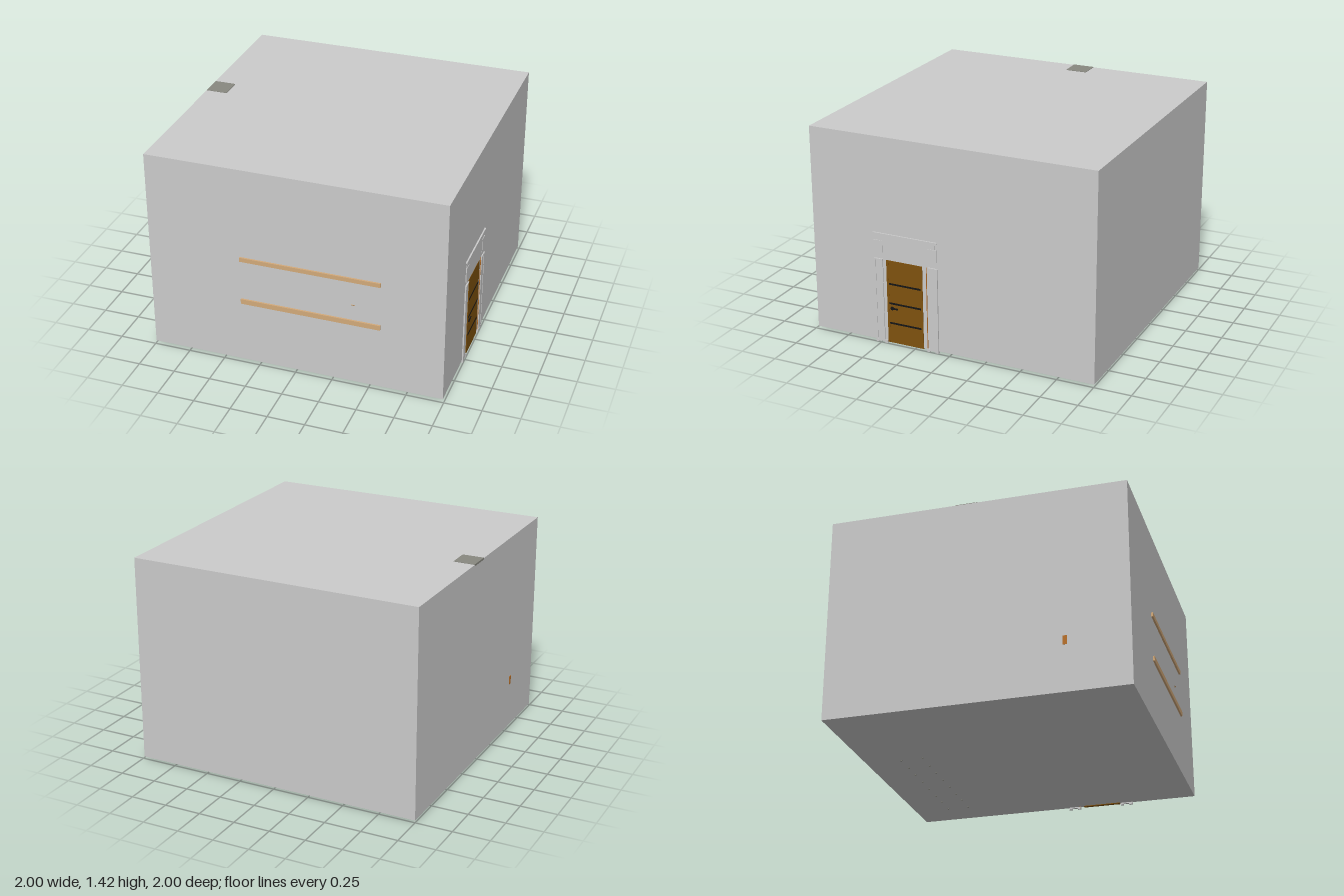
import * as THREE from 'three';

const mat = (color) => new THREE.MeshStandardMaterial({ color });
const grey = mat(0xcccccc), oak = mat(0xd3aa7a), brown = mat(0x80520e);
const orange = mat(0xb8702a), black = mat(0x151515), slate = mat(0x888880);

// Box given by its extents along each axis
function block(parent, name, [x0, x1], [y0, y1], [z0, z1], material = grey) {
  const mesh = new THREE.Mesh(new THREE.BoxGeometry(x1 - x0, y1 - y0, z1 - z0), material);
  mesh.position.set((x0 + x1) / 2, (y0 + y1) / 2, (z0 + z1) / 2);
  mesh.name = name;
  parent.add(mesh);
  return mesh;
}

function group(parent, name) {
  const g = new THREE.Group();
  g.name = name;
  parent.add(g);
  return g;
}

export function createModel() {
  const model = new THREE.Group();
  model.name = 'room';

  // Plain closed room
  block(model, 'roomShell', [-1, 0.99], [0.015, 1.42], [-1, 0.985]);

  // Roof hatch at the edge
  block(model, 'roofHatch', [-1, -0.855], [1.41, 1.423], [-0.15, 0], slate);

  // Shelf edges showing through the front wall
  for (const [y0, y1] of [[0.45, 0.484], [0.766, 0.795]])
    block(model, 'wallRail', [-0.37, 0.57], [y0, y1], [0.97, 0.997], oak);
  const peg = new THREE.Mesh(new THREE.CylinderGeometry(0.018, 0.006, 0.012, 8), oak);
  peg.name = 'wallPeg';
  peg.position.set(0.388, 0.591, 0.976);
  model.add(peg);

  // Small wooden tip on the left-hand wall
  block(model, 'woodenTip', [-1.002, -0.98], [0.33, 0.39], [0.555, 0.582], orange);

  // Door leaf with bars and lever
  const door = group(model, 'door');
  block(door, 'doorLeaf', [0.97, 0.993], [0.01, 0.59], [0.19, 0.435], brown);
  block(door, 'doorStile', [0.97, 0.994], [0.01, 0.59], [0.435, 0.45], brown);
  block(door, 'doorJamb', [0.97, 0.994], [0.01, 0.59], [0.158, 0.162], orange);
  for (const y of [0.15, 0.29, 0.427])
    block(door, 'doorBar', [0.98, 0.995], [y - 0.006, y + 0.006], [0.205, 0.435], black);
  const rose = new THREE.Mesh(new THREE.CylinderGeometry(0.012, 0.012, 0.01, 16), black);
  rose.name = 'handleRose';
  rose.rotation.z = Math.PI / 2;
  rose.position.set(0.993, 0.256, 0.414);
  door.add(rose);
  block(door, 'handleLever', [0.994, 0.999], [0.251, 0.261], [0.372, 0.414], black);

  // Door surround: posts, capitals, upper blocks and cornice
  const surround = group(model, 'doorSurround');
  for (const [inner, side] of [[0.455, 1], [0.165, -1]]) {
    const span = (a, b) => [inner + side * a, inner + side * b].sort((p, q) => p - q);
    block(surround, 'doorPost', [0.98, 0.996], [0.008, 0.585], span(0.02, 0.07));
    block(surround, 'postFoot', [0.98, 0.998], [0, 0.02], span(0.062, 0.085));
    block(surround, 'postFoot', [0.98, 0.998], [0, 0.02], span(0, 0.022));
    block(surround, 'postEdge', [0.98, 0.999], [0.005, 0.59], span(0.07, 0.085));
    block(surround, 'capital', [0.98, 1], [0.585, 0.593], span(0.02, 0.075));
    block(surround, 'upperBlock', [0.98, 0.996], [0.62, 0.72], span(0.02, 0.08));
  }
  block(surround, 'headerPanel', [0.98, 0.993], [0.595, 0.76], [0.1, 0.52]);
  block(surround, 'cornice', [0.98, 1], [0.76, 0.772], [0.08, 0.54]);

  // Chair feet just piercing the floor, four feet to each chair
  const feet = group(model, 'chairFeet');
  const footGeometry = new THREE.CylinderGeometry(0.007, 0.005, 0.012, 10);
  for (const x of [-0.155, 0.12, 0.405, 0.675])
    for (const dx of [-0.073, 0.073])
      for (const z of [-0.753, -0.605]) {
        const foot = new THREE.Mesh(footGeometry, slate);
        foot.name = 'chairFoot';
        foot.position.set(x + dx, 0.013, z);
        feet.add(foot);
      }
  return model;
}
